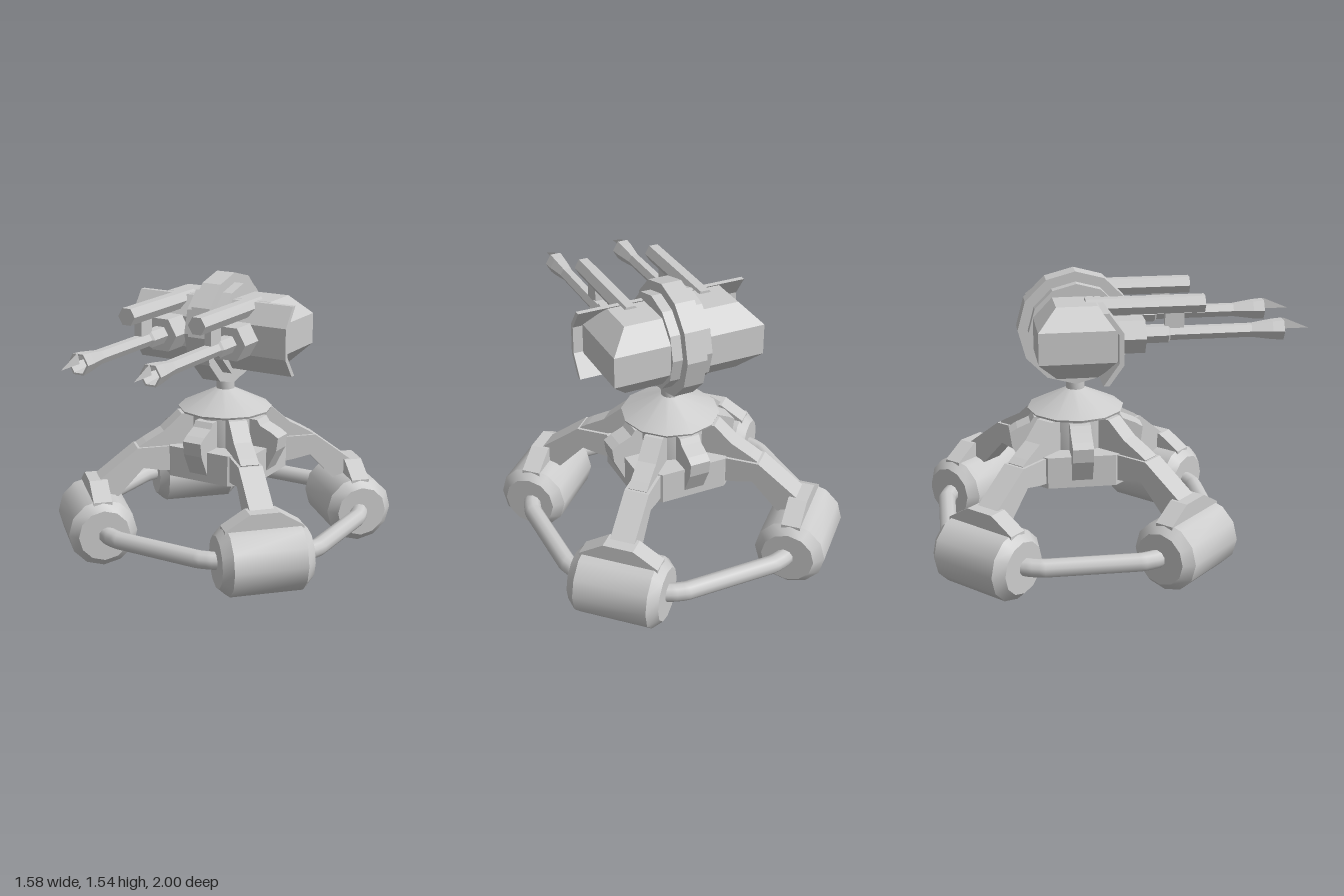
import * as THREE from 'three';
import { toCreasedNormals } from 'three/addons/utils/BufferGeometryUtils.js';

const flat = new THREE.MeshStandardMaterial({ color: 0xcccccc, flatShading: true, side: THREE.DoubleSide });
const smooth = new THREE.MeshStandardMaterial({ color: 0xcccccc, side: THREE.DoubleSide });

function add(parent, name, geometry, x = 0, y = 0, z = 0, material = flat) {
  const mesh = new THREE.Mesh(geometry, material);
  mesh.name = name;
  mesh.position.set(x, y, z);
  parent.add(mesh);
  return mesh;
}

// Side profile extruded to a given width, centred on z
function slab(points, width) {
  const shape = new THREE.Shape(points.map(([x, y]) => new THREE.Vector2(x, y)));
  const geometry = new THREE.ExtrudeGeometry(shape, { depth: width, bevelEnabled: false });
  return geometry.translate(0, 0, -width / 2);
}

// Turned part: [radius, height] points about y
function turned(points, sides) {
  return new THREE.LatheGeometry(points.map(([r, h]) => new THREE.Vector2(r, h)), sides);
}

const creased = (geometry) => toCreasedNormals(geometry, 0.6);

// Six-sided turned part lying along z, with corners left and right
const hexAlongZ = (points) => turned(points, 6).rotateY(Math.PI / 6).rotateX(Math.PI / 2);

function createBase() {
  const base = new THREE.Group();
  base.name = 'base';

  // Hub: chamfered square block, drum, cone and neck
  const a = 0.29, b = 0.18;
  const block = slab([[a, -b], [a, b], [b, a], [-b, a], [-a, b], [-a, -b], [-b, -a], [b, -a]], 0.17);
  add(base, 'hubBlock', block.rotateX(Math.PI / 2), 0, 0.525, 0);
  const hub = turned([[0.2, 0.6], [0.2, 0.775], [0.255, 0.785], [0.26, 0.797],
    [0.05, 0.9], [0.05, 0.96]], 12);
  add(base, 'hubCone', creased(hub), 0, 0, 0, smooth);

  for (let k = 0; k < 4; k++) {
    // Tab and connecting bar on each straight side
    const side = new THREE.Group();
    side.name = 'side';
    side.rotation.y = k * Math.PI / 2;
    base.add(side);
    add(side, 'hubTab', slab([[0.15, 0.44], [0.27, 0.44], [0.35, 0.6], [0.36, 0.675],
      [0.32, 0.7], [0.25, 0.73], [0.23, 0.76], [0.15, 0.76]], 0.11));
    const path = new THREE.CurvePath();
    const pts = [[0.65, 0.39], [0.69, 0.31], [0.707, 0.25], [0.707, -0.25], [0.69, -0.31], [0.65, -0.39]]
      .map(([x, z]) => new THREE.Vector3(x, 0.187, z));
    for (let i = 1; i < pts.length; i++) path.add(new THREE.LineCurve3(pts[i - 1], pts[i]));
    add(side, 'connectingBar', new THREE.TubeGeometry(path, 40, 0.048, 10), 0, 0, 0, smooth);

    // Leg, fin, wheel drum and fender on each corner
    const corner = new THREE.Group();
    corner.name = 'corner';
    corner.rotation.y = Math.PI / 4 + k * Math.PI / 2;
    base.add(corner);
    add(corner, 'leg', slab([[0.2, 0.45], [0.38, 0.47], [0.48, 0.49], [0.62, 0.34], [0.76, 0.34],
      [0.74, 0.43], [0.51, 0.605], [0.2, 0.605]], 0.13));
    add(corner, 'legFin', slab([[0.15, 0.55], [0.47, 0.57], [0.5, 0.61], [0.46, 0.635],
      [0.36, 0.69], [0.26, 0.78], [0.15, 0.78]], 0.1));
    const drum = turned([[0, -0.245], [0.14, -0.245], [0.187, -0.195],
      [0.187, 0.195], [0.14, 0.245], [0, 0.245]], 12);
    add(corner, 'wheelDrum', creased(drum.rotateX(Math.PI / 2)), 0.733, 0.187, 0, smooth);
    const fender = slab([[-0.21, 0.33], [0.21, 0.33], [0.21, 0.365], [0.08, 0.445],
      [-0.08, 0.445], [-0.21, 0.365]], 0.1);
    add(corner, 'fender', fender.rotateY(Math.PI / 2), 0.733, 0, 0);
  }
  return base;
}

function createGun(x) {
  const gun = new THREE.Group();
  gun.name = 'gun';
  gun.position.x = x;
  add(gun, 'gunMount', hexAlongZ([[0, -0.05], [0.1, -0.05], [0.1, 0.125], [0, 0.125]]), 0, 1.24, 0);
  // Stepped barrel with a flared, hollow muzzle
  add(gun, 'barrel', hexAlongZ([[0.05, 0.12], [0.05, 0.25], [0.038, 0.26], [0.038, 0.69],
    [0.055, 0.8], [0.06, 0.86], [0.05, 0.86], [0.03, 0.7], [0, 0.7]]), 0, 1.24, 0);
  const blade = new THREE.ShapeGeometry(new THREE.Shape([
    new THREE.Vector2(0.85, 1.24), new THREE.Vector2(1, 1.24), new THREE.Vector2(0.86, 1.3)]));
  add(gun, 'muzzleBlade', blade.rotateY(-Math.PI / 2));
  add(gun, 'upperTube', hexAlongZ([[0, -0.18], [0.05, -0.18], [0.05, 0.44], [0, 0.44]]), 0, 1.395, 0);
  add(gun, 'tubeBracket', new THREE.BoxGeometry(0.04, 0.12, 0.1), 0, 1.315, 0.283);
  return gun;
}

function createTurret() {
  const turret = new THREE.Group();
  turret.name = 'turret';

  // Centre discs
  for (const [r, w] of [[0.305, 0.11], [0.252, 0.22]]) {
    const disc = new THREE.CylinderGeometry(r, r, w, 12).rotateZ(Math.PI / 2);
    add(turret, 'centreDisc', disc, 0, 1.24, -0.21);
  }

  // Housing: box with its top and bottom rims drawn in
  const housing = new THREE.BoxGeometry(0.83, 0.375, 0.41, 1, 3, 1);
  const p = housing.attributes.position;
  for (let i = 0; i < p.count; i++) {
    const y = p.getY(i);
    if (Math.abs(y) > 0.1) {
      p.setX(i, p.getX(i) - 0.1 * Math.sign(p.getX(i)));
      p.setZ(i, p.getZ(i) - 0.1 * Math.sign(p.getZ(i)));
    } else {
      p.setY(i, 0.083 * Math.sign(y));
    }
  }
  add(turret, 'housing', housing, 0, 1.238, -0.233);

  // Bent front shields and guns
  for (const s of [-1, 1]) {
    const shield = slab([[-0.12, 1.05], [-0.09, 1.05], [-0.015, 1.155], [-0.015, 1.32], [-0.09, 1.425],
      [-0.12, 1.425], [-0.04, 1.312], [-0.04, 1.163]], 0.365);
    add(turret, 'shield', shield.rotateY(-Math.PI / 2), s * 0.285, 0, 0);
    turret.add(createGun(s * 0.208));
  }
  return turret;
}

export function createModel() {
  const model = new THREE.Group();
  model.name = 'gunTurret';
  const base = createBase();
  base.position.z = -0.21;
  model.add(base, createTurret());
  return model;
}
